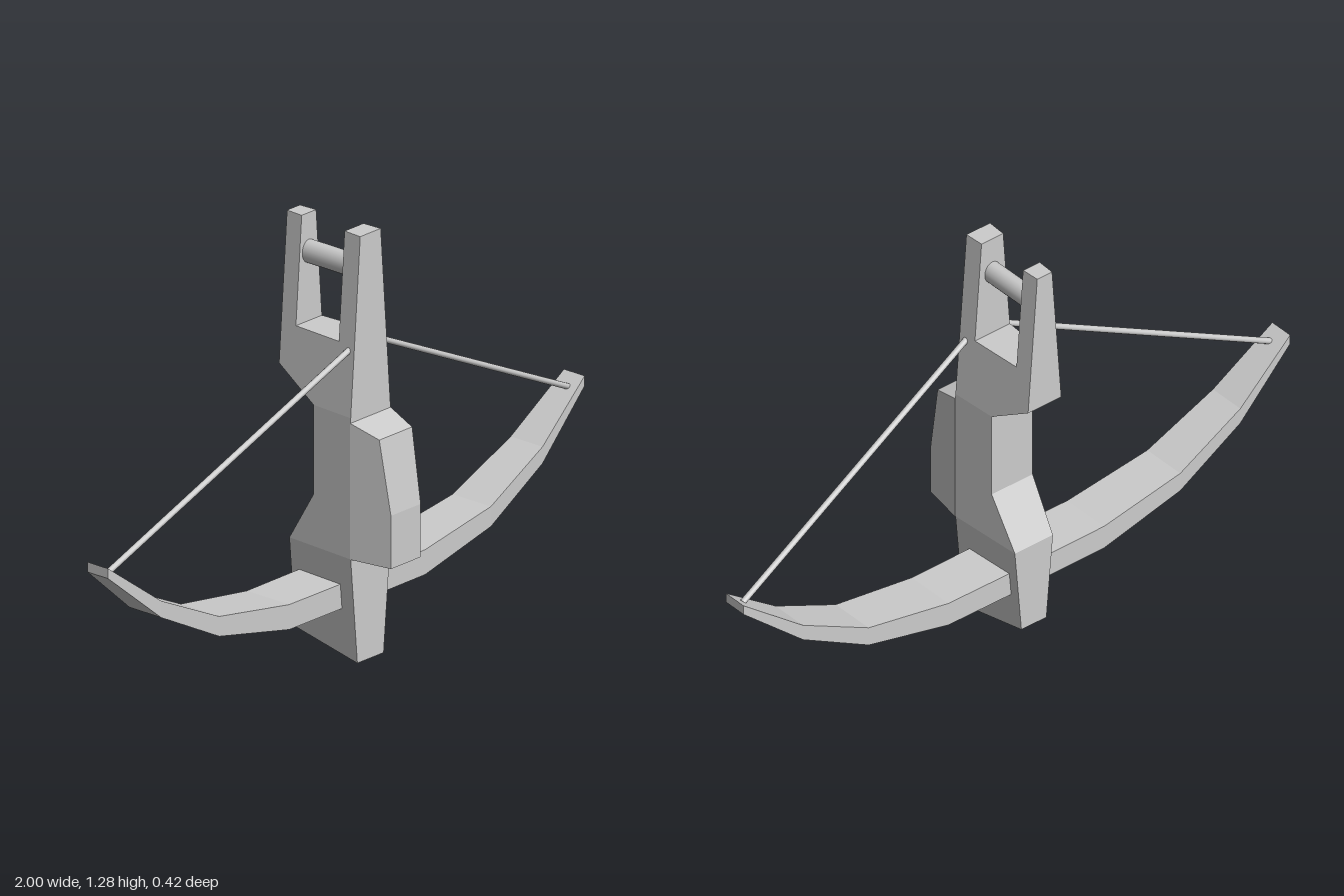
import * as THREE from 'three';

const flat = new THREE.MeshStandardMaterial({ color: 0xcccccc, flatShading: true });
const smooth = new THREE.MeshStandardMaterial({ color: 0xcccccc });

function add(parent, name, geometry, material = flat) {
  const mesh = new THREE.Mesh(geometry, material);
  mesh.name = name;
  parent.add(mesh);
  return mesh;
}

// Side profile of [z, y] points, spread in x by a half-width rule
function slab(profile, halfWidth) {
  const shape = new THREE.Shape(profile.map(([z, y]) => new THREE.Vector2(-z, y)));
  const geometry = new THREE.ExtrudeGeometry(shape, { depth: 2, bevelEnabled: false });
  geometry.translate(0, 0, -1).rotateY(Math.PI / 2);
  const p = geometry.attributes.position;
  for (let i = 0; i < p.count; i++) {
    p.setX(i, p.getX(i) * halfWidth(p.getZ(i), p.getY(i)));
  }
  geometry.computeVertexNormals();
  return geometry;
}

// Stock is widest in the middle and narrows to both ends and to the back
function stockHalfWidth(z, y) {
  let w = 0.083;
  if (y < 0.32) w = 0.055 + 0.028 * (y / 0.32);
  if (y > 0.745) w = 0.083 - 0.04 * ((y - 0.745) / 0.535);
  return w - 0.055 * (0.08 - z);
}

// Limbs: a box whose columns follow the curve, [x, bottom, top, half depth]
function bowGeometry() {
  const half = [
    [0.285, 0.155, 0.23, 0.08], [0.57, 0.215, 0.275, 0.072],
    [0.8, 0.335, 0.385, 0.06], [1, 0.505, 0.535, 0.039],
  ];
  const stations = [
    ...half.map(([x, ...rest]) => [-x, ...rest]).reverse(),
    [0, 0.155, 0.23, 0.082],
    ...half,
  ];
  const geometry = new THREE.BoxGeometry(8, 2, 2, 8, 1, 1);
  const p = geometry.attributes.position;
  for (let i = 0; i < p.count; i++) {
    const [x, low, high, depth] = stations[Math.round(p.getX(i) + 4)];
    p.setXYZ(i, x, p.getY(i) > 0 ? high : low, -0.05 + p.getZ(i) * depth);
  }
  geometry.computeVertexNormals();
  return geometry;
}

function rod(a, b, radius, sides) {
  const dir = b.clone().sub(a);
  const geometry = new THREE.CylinderGeometry(radius, radius, dir.length(), sides);
  geometry.applyQuaternion(new THREE.Quaternion().setFromUnitVectors(
    new THREE.Vector3(0, 1, 0), dir.normalize()));
  const mid = a.clone().add(b).multiplyScalar(0.5);
  return geometry.translate(mid.x, mid.y, mid.z);
}

export function createModel() {
  const model = new THREE.Group();
  model.name = 'crossbow';

  // Stock in three bands, split where its taper changes
  const stock = new THREE.Group();
  stock.name = 'stock';
  model.add(stock);
  add(stock, 'stockNose', slab(
    [[0.08, 0], [0.08, 0.32], [-0.163, 0.32], [-0.163, 0.045]], stockHalfWidth));
  add(stock, 'stockMiddle', slab(
    [[0.08, 0.32], [0.08, 0.745], [-0.068, 0.745], [-0.068, 0.475], [-0.163, 0.32]],
    stockHalfWidth));
  add(stock, 'stockFork', slab(
    [[0.08, 0.745], [0.08, 1.28], [0.018, 1.28], [0.018, 0.955], [-0.152, 0.955],
      [-0.152, 1.28], [-0.21, 1.28], [-0.21, 0.83], [-0.068, 0.745]], stockHalfWidth));

  // Raised block on the front face
  add(model, 'frontBlock', slab(
    [[0.08, 0.32], [0.213, 0.32], [0.213, 0.48], [0.175, 0.7], [0.08, 0.73]],
    (z) => 0.085 - 0.17 * (z - 0.08)));

  // Pin across the fork
  const pin = add(model, 'forkPin', rod(
    new THREE.Vector3(0, 1.165, -0.16), new THREE.Vector3(0, 1.165, 0.03), 0.035, 20), smooth);
  pin.scale.x = 0.8;

  add(model, 'bow', bowGeometry());

  // String, one half each side
  for (const [side, name] of [[1, 'leftString'], [-1, 'rightString']]) {
    add(model, name, rod(
      new THREE.Vector3(side * 0.965, 0.505, -0.043),
      new THREE.Vector3(side * 0.05, 0.945, 0.058), 0.009, 10), smooth);
  }
  return model;
}
